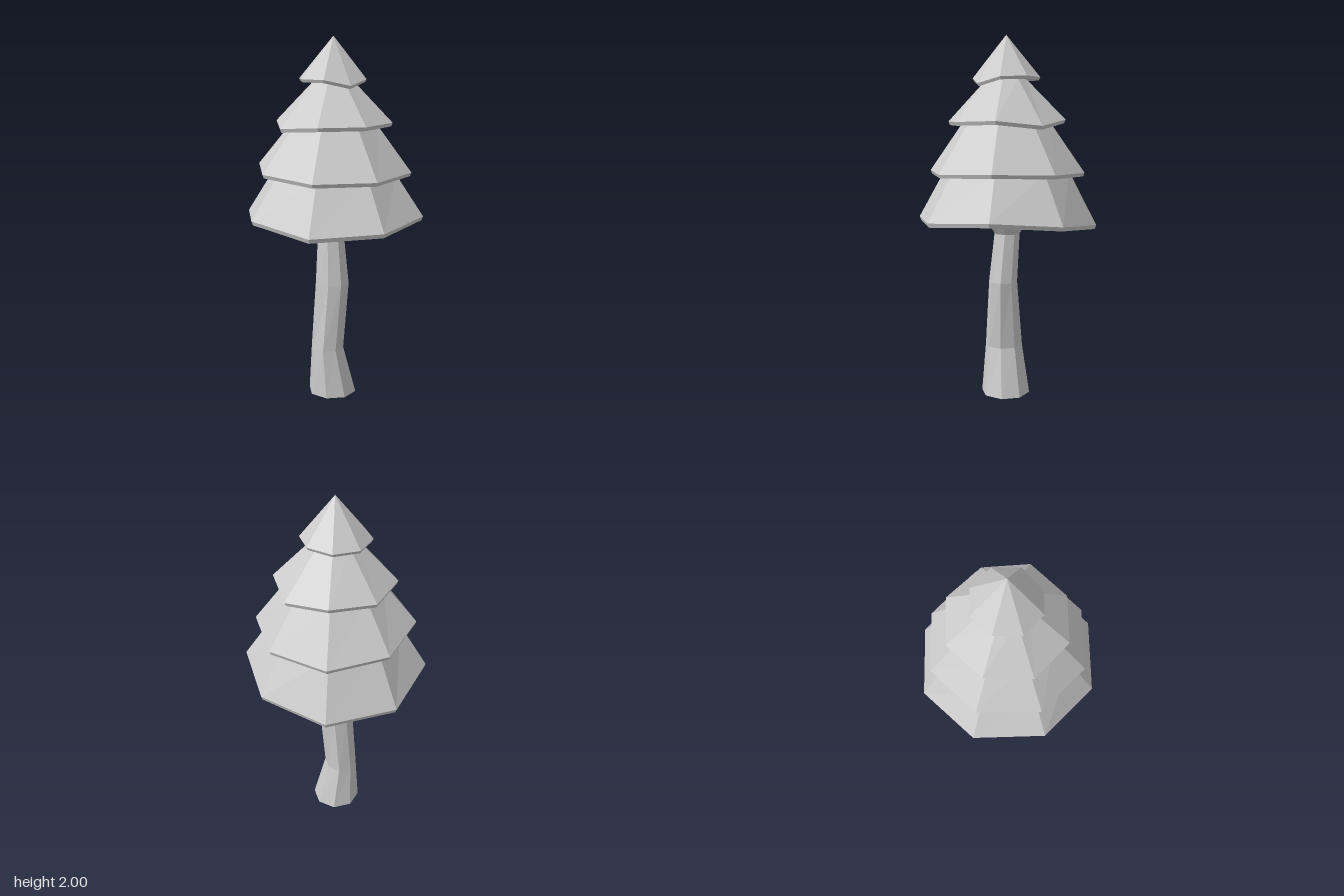
import * as THREE from 'three';

const SIDES = 8;
const TURN = THREE.MathUtils.degToRad(7.5);

// One octagonal ring; y is a single height or one height per corner.
function ring(r, y, cx = 0, cz = 0, rz = r) {
  return Array.from({ length: SIDES }, (_, i) => {
    const a = TURN + (i * Math.PI * 2) / SIDES;
    return [cx + r * Math.sin(a), Array.isArray(y) ? y[i] : y, cz - rz * Math.cos(a)];
  });
}

// Skins a stack of rings, listed from the bottom up, with flat facets.
function loft(name, rings, material) {
  const index = [];
  for (let k = 0; k < rings.length - 1; k++) {
    for (let i = 0; i < SIDES; i++) {
      const j = (i + 1) % SIDES;
      const a = k * SIDES + i, b = k * SIDES + j;
      index.push(b, a, a + SIDES, b, a + SIDES, b + SIDES);
    }
  }
  const indexed = new THREE.BufferGeometry();
  indexed.setAttribute('position', new THREE.Float32BufferAttribute(rings.flat(2), 3));
  indexed.setIndex(index);
  const geometry = indexed.toNonIndexed();
  geometry.computeVertexNormals();
  const mesh = new THREE.Mesh(geometry, material);
  mesh.name = name;
  return mesh;
}

export function createModel() {
  const tree = new THREE.Group();
  tree.name = 'pineTree';
  const material = new THREE.MeshStandardMaterial({ color: 0xcccccc, flatShading: true });

  // Crooked trunk, closed at the base and flaring under the branches
  tree.add(loft('trunk', [
    ring(0, 0),
    ring(0.137, 0, -0.006, 0.004),
    ring(0.093, 0.27, -0.033, 0.015, 0.105),
    ring(0.095, 0.65, -0.005, 0.018, 0.08),
    ring(0.075, 0.92, -0.015, -0.004, 0.071),
    ring(0.12, 1.01, 0, 0.005, 0.13),
  ], material));

  // Branch tiers: uneven rim heights, rim radius, then the narrow top of each tier
  const tiers = [
    { r: 0.498, lip: 0.022, top: [0.345, 1.275],
      rim: [0.98, 1.02, 1.05, 1.02, 1.005, 1.05, 1.038, 0.99] },
    { r: 0.43, lip: 0.02, top: [0.245, 1.53],
      rim: [1.265, 1.275, 1.285, 1.27, 1.268, 1.29, 1.31, 1.285] },
    { r: 0.324, lip: 0.02, top: [0.11, 1.765],
      rim: [1.55, 1.522, 1.548, 1.54, 1.538, 1.522, 1.55, 1.54] },
    { r: 0.186, lip: 0.016, top: [0, 2], cx: -0.005,
      rim: [1.775, 1.78, 1.775, 1.742, 1.772, 1.775, 1.778, 1.775] },
  ];
  const rings = [ring(0.1, 1.005)];
  for (const { r, lip, top, rim, cx = 0 } of tiers) {
    rings.push(ring(r - 0.008, rim.map((y) => y - lip), cx), ring(r, rim, cx), ring(top[0], top[1]));
  }
  tree.add(loft('foliage', rings, material));

  return tree;
}
